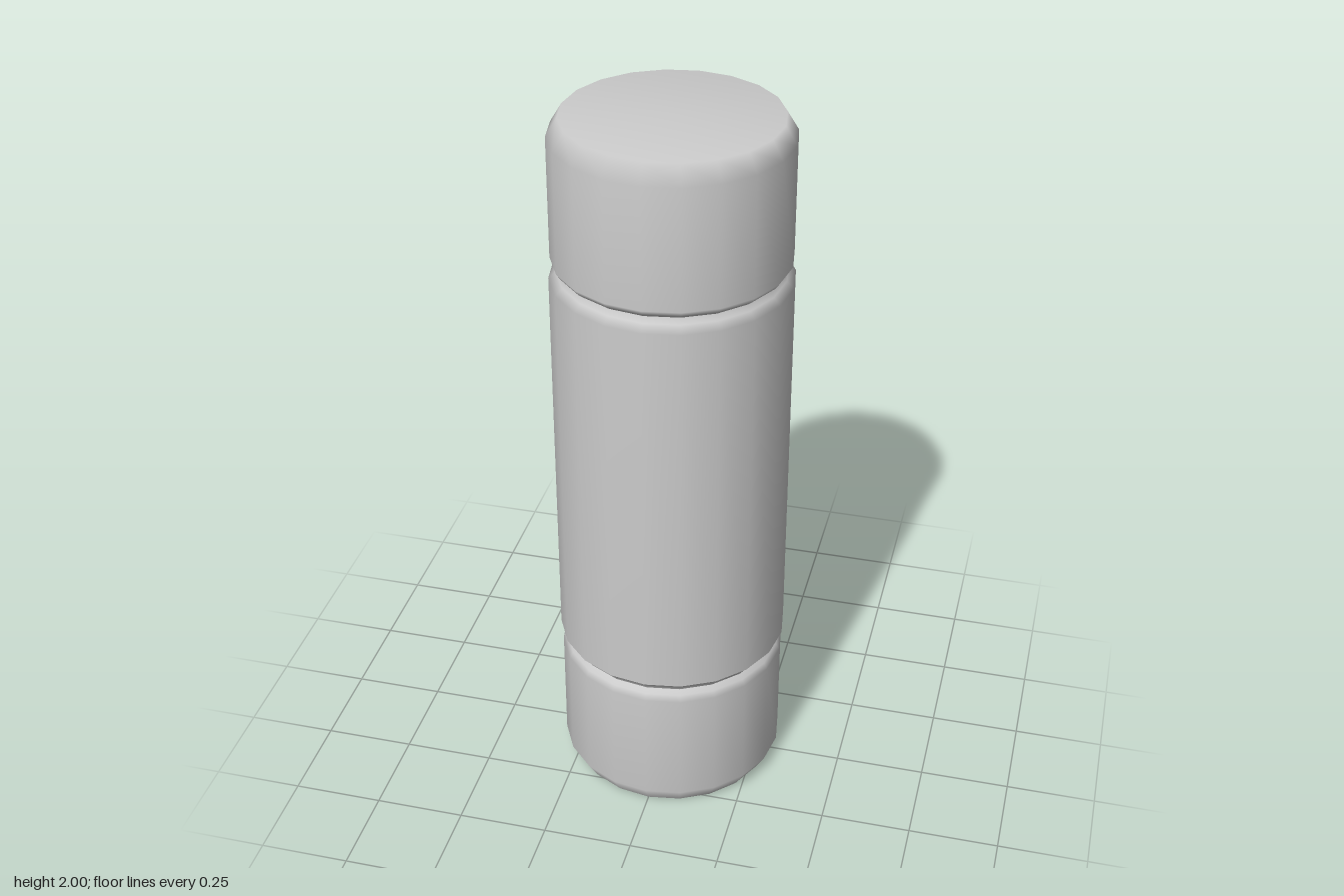
import * as THREE from 'three';

const material = new THREE.MeshStandardMaterial({ color: 0xcccccc, side: THREE.DoubleSide });
const AXIS_Z = 0.01; // tube axis, offset so tube plus plate is centred

// Smooth 20-sided turned part from [radius, height] pairs
function turned(name, profile) {
  const points = profile.map(([r, y]) => new THREE.Vector2(r, y));
  const mesh = new THREE.Mesh(new THREE.LatheGeometry(points, 20), material);
  mesh.name = name;
  mesh.position.z = AXIS_Z;
  return mesh;
}

// Rounded rectangle centred on the origin
function roundedRect(path, w, h, r) {
  const x = w / 2, y = h / 2;
  path.moveTo(-x + r, -y);
  path.lineTo(x - r, -y);
  path.quadraticCurveTo(x, -y, x, -y + r);
  path.lineTo(x, y - r);
  path.quadraticCurveTo(x, y, x - r, y);
  path.lineTo(-x + r, y);
  path.quadraticCurveTo(-x, y, -x, y - r);
  path.lineTo(-x, -y + r);
  path.quadraticCurveTo(-x, -y, -x + r, -y);
  return path;
}

// Raised frame with a sunken panel on the back
function backPlate() {
  const plate = new THREE.Group();
  plate.name = 'backPlate';
  const outline = roundedRect(new THREE.Shape(), 0.24, 0.985, 0.04);
  outline.holes.push(roundedRect(new THREE.Path(), 0.165, 0.91, 0.012));
  const frame = new THREE.Mesh(
    new THREE.ExtrudeGeometry(outline, { depth: 0.05, bevelEnabled: false, curveSegments: 4 }), material);
  frame.name = 'plateFrame';
  const panel = new THREE.Mesh(new THREE.BoxGeometry(0.17, 0.915, 0.025), material);
  panel.name = 'platePanel';
  panel.position.z = 0.0135;
  plate.add(frame, panel);
  plate.rotation.y = Math.PI;
  plate.position.set(0, 1.0375, -0.285);
  return plate;
}

export function createModel() {
  const model = new THREE.Group();
  model.name = 'canister';
  model.add(
    // Lower collar, open underneath
    turned('lowerCollar', [[0.285, 0], [0.315, 0.05], [0.315, 0.385], [0.305, 0.402], [0.293, 0.415]]),
    // Main tube between the two grooves
    turned('body', [[0.293, 0.415], [0.3, 0.43], [0.32, 0.447], [0.32, 1.557], [0.3, 1.575], [0.293, 1.592]]),
    // Upper cap, closed on top
    turned('upperCap', [[0.293, 1.592], [0.305, 1.602], [0.315, 1.617], [0.315, 1.95], [0.285, 2], [0, 2]]),
    backPlate()
  );
  return model;
}
